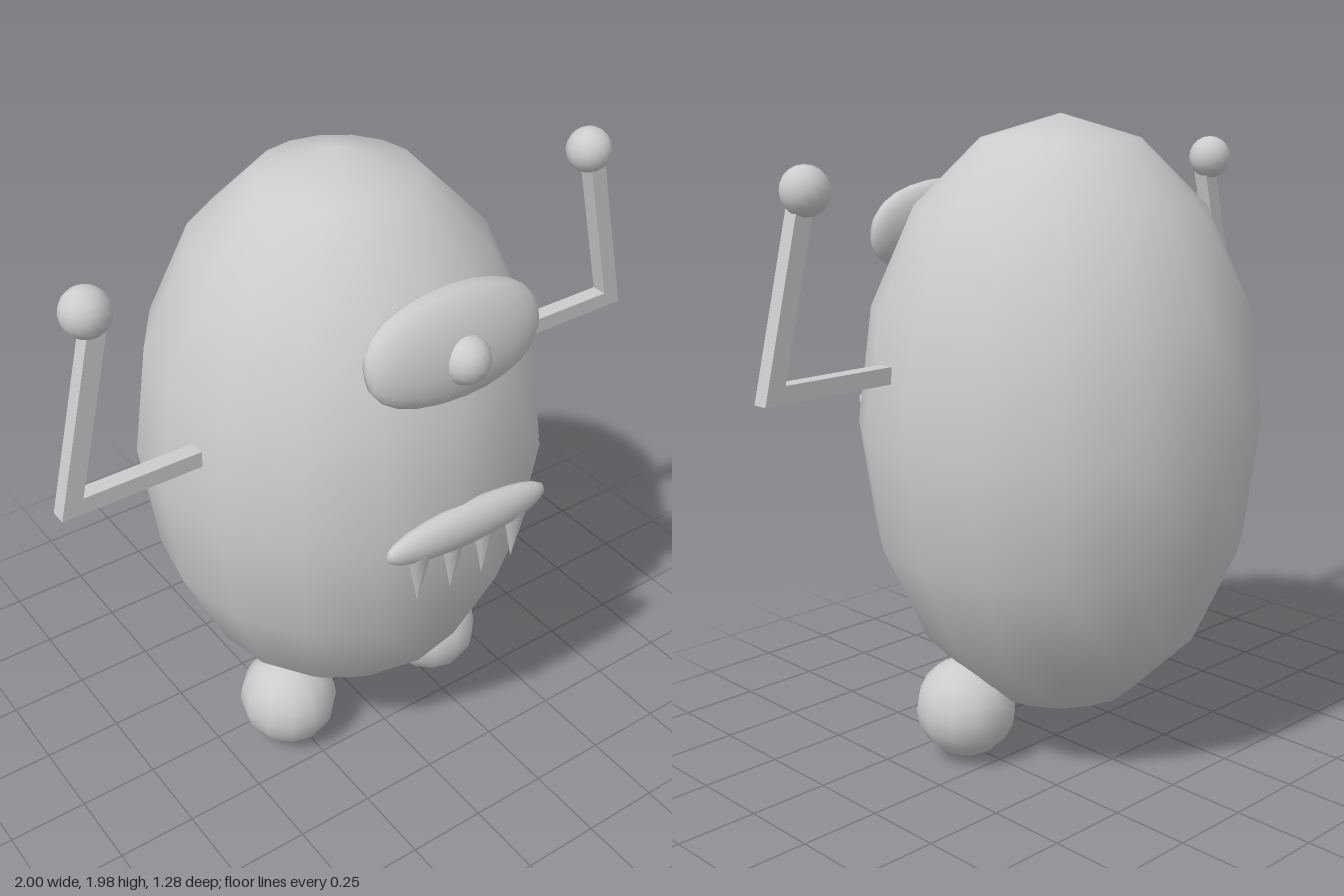
import * as THREE from 'three';

const material = new THREE.MeshStandardMaterial({ color: 0xcccccc });

// Ellipsoid with its own segment counts
function ball(name, center, radii, wSeg = 16, hSeg = 10) {
  const geo = new THREE.SphereGeometry(1, wSeg, hSeg);
  const mesh = new THREE.Mesh(geo, material);
  mesh.name = name;
  mesh.scale.set(...radii);
  mesh.position.set(...center);
  return mesh;
}

// Cushion: ellipsoid with its pole along x and fuller ends
function cushion(name, center, radii, fullness) {
  const geo = new THREE.SphereGeometry(1, 16, 12).rotateZ(Math.PI / 2);
  const p = geo.attributes.position;
  for (let i = 0; i < p.count; i++) {
    const x = p.getX(i);
    const r = Math.hypot(p.getY(i), p.getZ(i));
    const k = r > 1e-4 ? Math.pow(r, fullness) / r : 0;
    p.setXYZ(i, x * radii[0], p.getY(i) * k * radii[1], p.getZ(i) * k * radii[2]);
  }
  // Analytic-style normals keep the seam smooth
  const n = geo.attributes.normal;
  const v = new THREE.Vector3();
  for (let i = 0; i < n.count; i++) {
    v.set(n.getX(i) / radii[0], n.getY(i) / radii[1], n.getZ(i) / radii[2]).normalize();
    n.setXYZ(i, v.x, v.y, v.z);
  }
  const mesh = new THREE.Mesh(geo, material);
  mesh.name = name;
  mesh.position.set(...center);
  return mesh;
}

// Bent square-section arm, mitred at the elbow
function arm(side) {
  const outline = [[0.57, 1.24], [1, 1.24], [0.867, 1.78], [0.813, 1.775], [0.932, 1.29], [0.57, 1.29]];
  const shape = new THREE.Shape(outline.map(([x, y]) => new THREE.Vector2(x * side, y)));
  const geo = new THREE.ExtrudeGeometry(shape, { depth: 0.05, bevelEnabled: false });
  const mesh = new THREE.Mesh(geo, material);
  mesh.name = side > 0 ? 'leftArm' : 'rightArm';
  mesh.position.z = 0.092;
  return mesh;
}

export function createModel() {
  const model = new THREE.Group();
  model.name = 'oneEyedMonster';

  // Egg-shaped body
  model.add(ball('body', [0, 1.06, -0.02], [0.62, 0.925, 0.62], 16, 8));

  // Eye leaning back with the face, and its pupil
  const eye = cushion('eye', [0.01, 1.62, 0.5], [0.287, 0.16, 0.072], 0.8);
  eye.rotation.x = -0.24;
  model.add(eye, ball('pupil', [0.005, 1.6, 0.56], [0.07, 0.07, 0.07]));

  // Mouth with a row of teeth
  model.add(cushion('mouth', [0.015, 1.07, 0.595], [0.282, 0.068, 0.048], 0.9));
  [-0.16, -0.04, 0.075, 0.185].forEach((x, i) => {
    const tooth = new THREE.Mesh(new THREE.ConeGeometry(0.04, 0.18, 8), material);
    tooth.name = 'tooth' + (i + 1);
    tooth.rotation.x = Math.PI;
    tooth.scale.z = 0.8;
    tooth.position.set(x, i % 3 ? 0.95 : 0.96, 0.6);
    model.add(tooth);
  });

  // Arms, hands and feet
  model.add(arm(1), arm(-1));
  model.add(ball('leftHand', [0.838, 1.8, 0.1], [0.07, 0.07, 0.07]));
  model.add(ball('rightHand', [-0.85, 1.815, 0.105], [0.07, 0.07, 0.07]));
  model.add(ball('leftFoot', [0.298, 0.168, 0.1], [0.156, 0.156, 0.16], 12, 10));
  model.add(ball('rightFoot', [-0.284, 0.158, 0.1], [0.156, 0.156, 0.16], 12, 10));

  return model;
}
